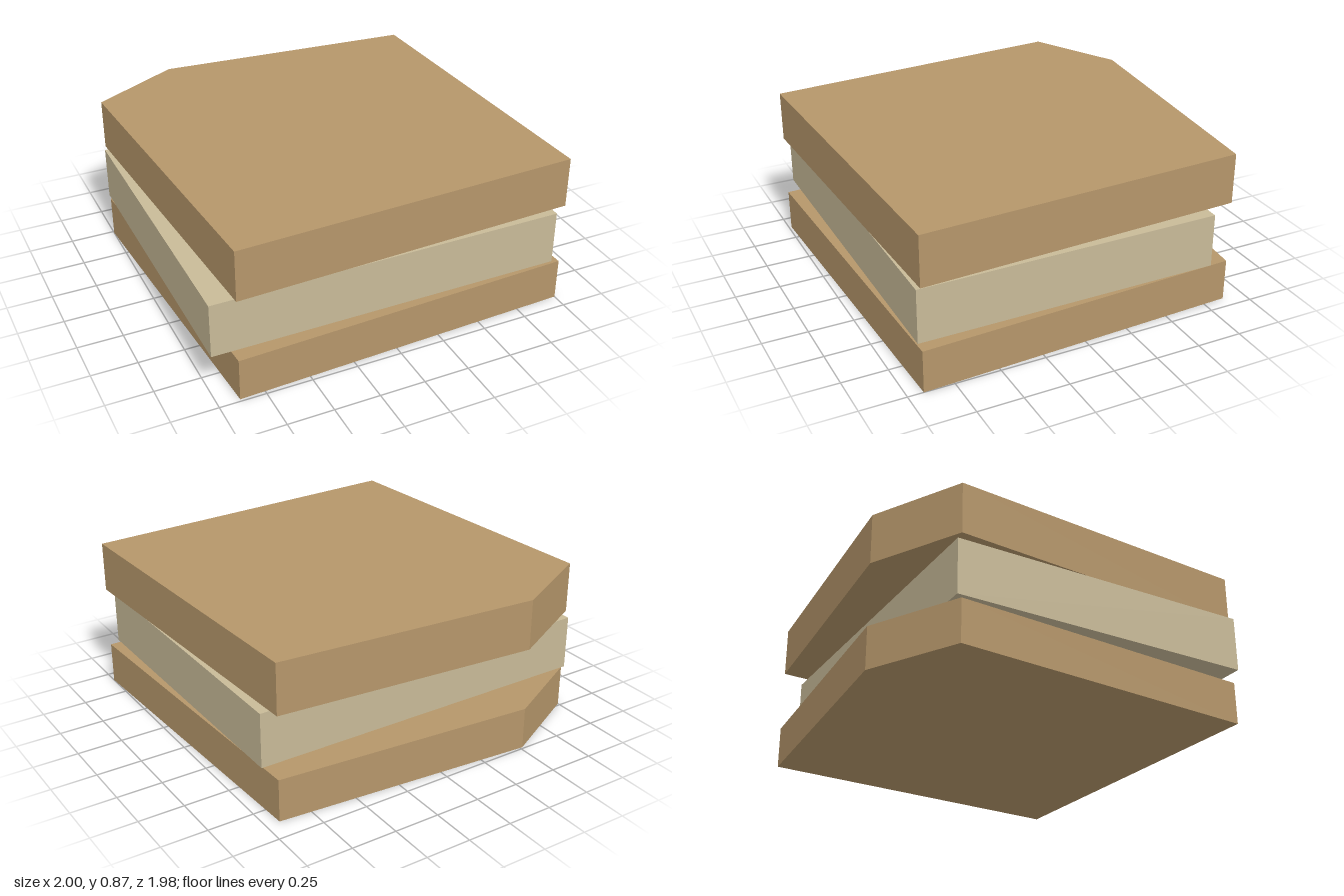
import * as THREE from 'three';

export function createModel() {
  const group = new THREE.Group();
  const bread = new THREE.MeshStandardMaterial({ name: 'toasted bread', color: 0xb5966a });
  const filling = new THREE.MeshStandardMaterial({ name: 'pale filling', color: 0xc8ba98 });

  // Five-sided slice outline as [x, z], seen from above
  const outline = [[-0.885, 0.985], [1, 0.915], [0.925, -0.875], [-0.515, -0.99], [-1, -0.735]];
  const sliceShape = new THREE.Shape(outline.map(([x, z]) => new THREE.Vector2(x, -z)));

  // Flat slice standing between two heights
  function addSlice(name, bottom, top) {
    const geometry = new THREE.ExtrudeGeometry(sliceShape, { depth: top - bottom, bevelEnabled: false });
    geometry.rotateX(-Math.PI / 2);
    const mesh = new THREE.Mesh(geometry, bread);
    mesh.name = name;
    mesh.position.y = bottom;
    group.add(mesh);
  }
  addSlice('bottomSlice', 0, 0.235);
  addSlice('topSlice', 0.585, 0.865);

  // Rectangular slab floating between the slices, slightly off centre
  const slab = new THREE.Mesh(new THREE.BoxGeometry(1.95, 0.3, 1.675), filling);
  slab.name = 'fillingSlab';
  slab.position.set(-0.025, 0.4, 0.08);
  group.add(slab);

  return group;
}
